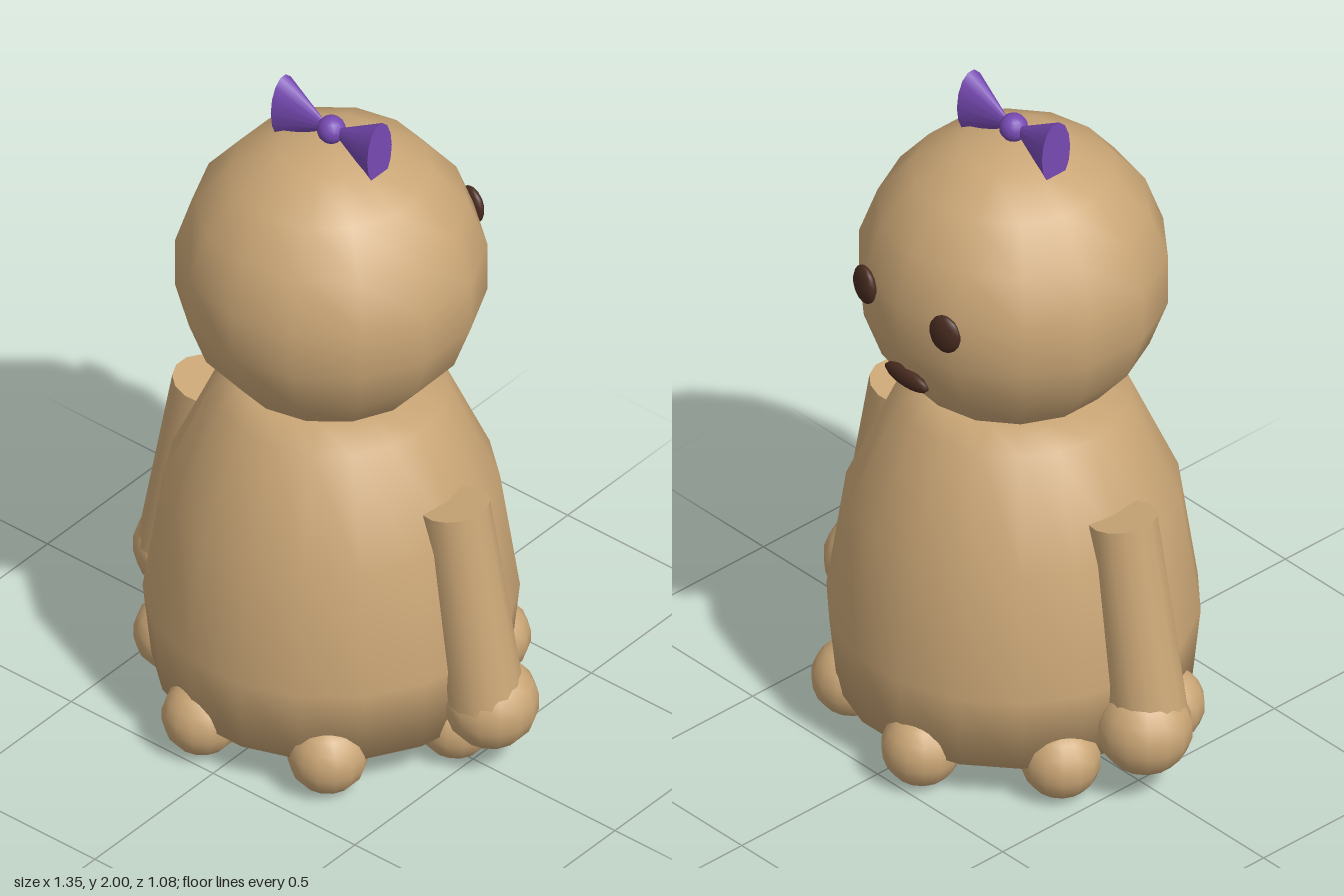
import * as THREE from 'three';

const mat = (name, color) => {
  const m = new THREE.MeshStandardMaterial({ color });
  m.name = name;
  return m;
};

export function createModel() {
  const model = new THREE.Group();
  model.name = 'doll';
  const tan = mat('tan', 0xcaa676);
  const purple = mat('purple', 0x7649b2);
  const brown = mat('darkBrown', 0x482b20);

  const add = (name, geometry, material, x = 0, y = 0, z = 0) => {
    const mesh = new THREE.Mesh(geometry, material);
    mesh.name = name;
    mesh.position.set(x, y, z);
    model.add(mesh);
    return mesh;
  };
  // Low-sided smooth ball with corners on the z axis
  const ball = (r) => new THREE.SphereGeometry(r, 14, 9).rotateY(Math.PI / 2);

  // Bell-shaped body, closed at both ends
  const profile = [
    [0, 0.12], [0.487, 0.12], [0.511, 0.35], [0.457, 0.72], [0.32, 1.03], [0.22, 1.07], [0, 1.07],
  ].map(([r, y]) => new THREE.Vector2(r, y));
  add('body', new THREE.LatheGeometry(profile, 18).rotateY(Math.PI / 2), tan);

  add('head', ball(0.43), tan, 0, 1.44, 0);

  // Ring of seven round feet
  for (let i = 0; i < 7; i++) {
    const a = (i / 7) * Math.PI * 2;
    add('foot', ball(0.111), tan, 0.44 * Math.cos(a), 0.111, 0.44 * Math.sin(a));
  }

  for (const s of [1, -1]) {
    const side = s > 0 ? 'left' : 'right';

    // Arm hanging outwards, ending in a round hand
    const top = new THREE.Vector3(s * 0.437, 0.836, 0);
    const end = new THREE.Vector3(s * 0.547, 0.22, 0);
    const axis = top.clone().sub(end);
    const arm = add(side + 'Arm', new THREE.CylinderGeometry(0.096, 0.108, axis.length(), 14), tan);
    arm.position.copy(top).add(end).multiplyScalar(0.5);
    arm.quaternion.setFromUnitVectors(new THREE.Vector3(0, 1, 0), axis.normalize());
    add(side + 'Hand', ball(0.132), tan, s * 0.547, 0.21, -0.02);

    // Oval eye, turned to follow the head
    const eye = add(side + 'Eye', ball(1), brown, s * 0.16, 1.488, -0.4);
    eye.scale.set(0.05, 0.058, 0.022);
    eye.rotation.y = -s * 0.2;

    // Flattened cone as a bow loop, its tip at the knot
    const loop = new THREE.ConeGeometry(0.1, 0.17, 14).rotateZ(s * Math.PI / 2).scale(1, 1, 0.52);
    add(side + 'BowLoop', loop, purple, s * 0.085, 1.9, 0);
  }

  add('mouth', ball(1), brown, 0, 1.26, -0.393).scale.set(0.085, 0.03, 0.02);
  add('bowKnot', ball(0.04), purple, 0, 1.9, 0);

  return model;
}
